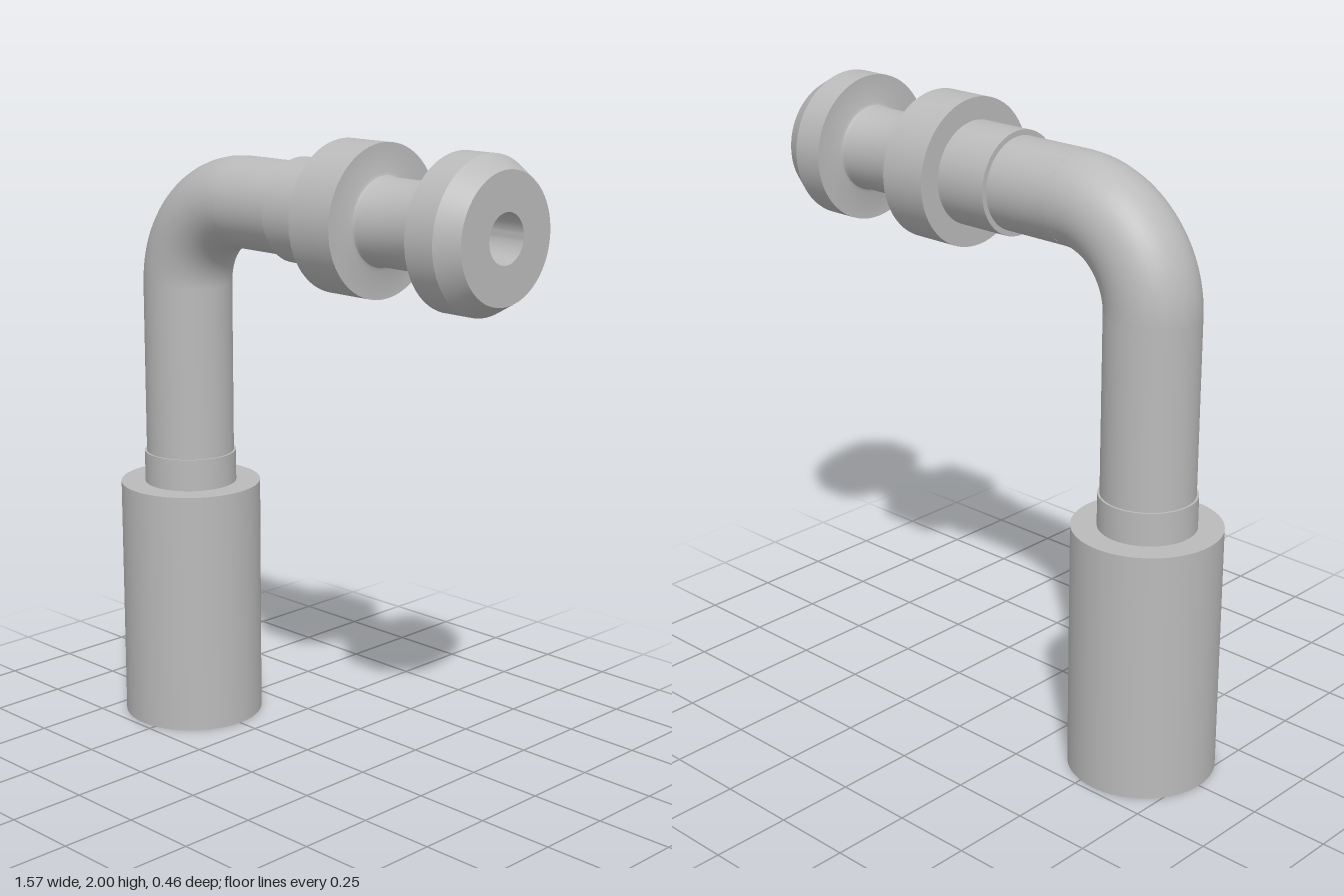
import * as THREE from 'three';
import { toCreasedNormals } from 'three/addons/utils/BufferGeometryUtils.js';

const SEG = 64;
const PIPE_X = -0.555, AXIS_Y = 1.768;      // axes of the two legs
const BEND = 0.29, PIPE_R = 0.145, BORE_R = 0.075;
const BEND_X = PIPE_X + BEND, BEND_Y = AXIS_Y - BEND;

export function createModel() {
  const group = new THREE.Group();
  const steel = new THREE.MeshStandardMaterial({ color: 0xbababa });
  steel.name = 'grey steel';

  const add = (name, geometry) => {
    const mesh = new THREE.Mesh(geometry, steel);
    mesh.name = name;
    group.add(mesh);
    return mesh;
  };

  // Closed [radius, height] section, inner bottom first, then up the outside
  const turned = (name, section) => {
    const points = [...section, section[0]].map(([r, h]) => new THREE.Vector2(r, h));
    return add(name, toCreasedNormals(new THREE.LatheGeometry(points, SEG), 0.5));
  };
  const upright = (name, section) => {
    turned(name, section).position.x = PIPE_X;
  };
  const level = (name, section) => {
    const mesh = turned(name, section);
    mesh.rotation.z = -Math.PI / 2;
    mesh.position.y = AXIS_Y;
  };
  const pipe = (from, to) => [[BORE_R, from], [PIPE_R, from], [PIPE_R, to], [BORE_R, to]];

  // Crimp ferrule: hollow shell, inner hose stem and upper collar
  upright('ferrule', [
    [0.048, 0.025], [0.06, 0.01], [0.09, 0.01], [0.1, 0.025], [0.1, 0.68],
    [0.206, 0.68], [0.206, 0], [0.232, 0], [0.232, 0.81],
    [0.152, 0.81], [0.152, 0.915], [BORE_R, 0.915], [0.048, 0.86],
  ]);

  // Bent pipe: two straight legs joined by a quarter bend
  upright('verticalPipe', pipe(0.915, BEND_Y));
  level('horizontalPipe', pipe(BEND_X, -0.03));
  const bend = (name, radius, inward) => {
    const geometry = new THREE.TorusGeometry(BEND, radius, 40, 32, Math.PI / 2);
    if (inward) {
      geometry.index.array.reverse();
      geometry.computeVertexNormals();
    }
    const mesh = add(name, geometry);
    mesh.rotation.z = Math.PI / 2;
    mesh.position.set(BEND_X, BEND_Y, 0);
  };
  bend('pipeBend', PIPE_R, false);
  bend('boreBend', BORE_R, true);

  // Connector: sleeve, flange, filleted neck and chamfered head
  level('connector', [
    [BORE_R, -0.03], [0.162, -0.03], [0.162, 0.155],
    [0.232, 0.155], [0.232, 0.318],
    [0.145, 0.318], [0.136, 0.322], [0.132, 0.331],
    [0.132, 0.599], [0.136, 0.608], [0.145, 0.612],
    [0.232, 0.612], [0.232, 0.715], [0.193, 0.785], [BORE_R, 0.785],
  ]);

  return group;
}
